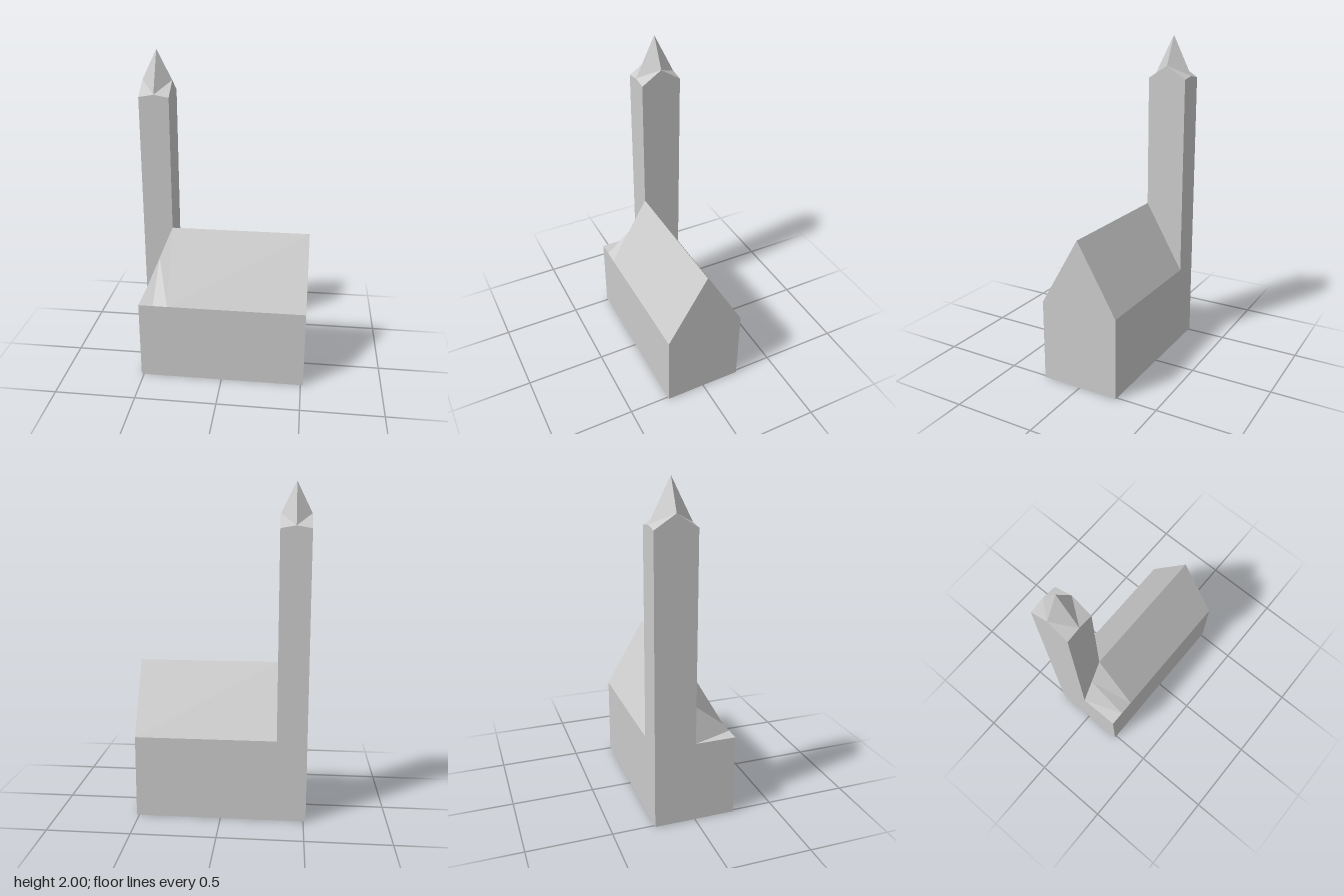
import * as THREE from 'three';

const material = new THREE.MeshStandardMaterial({ color: 0xcccccc, flatShading: true });

function part(name, geometry) {
  const mesh = new THREE.Mesh(geometry, material);
  mesh.name = name;
  return mesh;
}

// Solid block standing on the ground with a folded top.
// heights[j][i] is the top at xs[i], zs[j]; fold(i, j) picks each cell's diagonal.
function foldedBlock(xs, zs, heights, fold) {
  const out = [];
  const tri = (...points) => points.forEach((p) => out.push(...p));
  const top = (i, j) => [xs[i], heights[j][i], zs[j]];
  const foot = ([x, , z]) => [x, 0, z];
  const m = xs.length - 1, n = zs.length - 1;

  // top facets and floor
  for (let i = 0; i < m; i++) {
    for (let j = 0; j < n; j++) {
      const a = top(i, j), b = top(i, j + 1), c = top(i + 1, j + 1), d = top(i + 1, j);
      if (fold(i, j)) { tri(a, b, c); tri(a, c, d); } else { tri(a, b, d); tri(b, c, d); }
      tri(foot(a), foot(c), foot(b));
      tri(foot(a), foot(d), foot(c));
    }
  }

  // walls, one strip per side
  const wall = (p, q) => {
    tri(p, foot(p), foot(q));
    tri(p, foot(q), q);
  };
  for (let j = 0; j < n; j++) {
    wall(top(0, j), top(0, j + 1));
    wall(top(m, j + 1), top(m, j));
  }
  for (let i = 0; i < m; i++) {
    wall(top(i, n), top(i + 1, n));
    wall(top(i + 1, 0), top(i, 0));
  }

  const geometry = new THREE.BufferGeometry();
  geometry.setAttribute('position', new THREE.Float32BufferAttribute(out, 3));
  geometry.computeVertexNormals();
  return geometry;
}

export function createModel() {
  const group = new THREE.Group();
  group.name = 'church';

  const end = 0.515, inner = -0.335, depth = 0.247;
  const eaves = 0.5, ridge = 0.925;
  const xs = [-end, (inner - end) / 2, inner];

  // Nave: gabled section extruded along x
  const section = new THREE.Shape([
    new THREE.Vector2(-depth, 0),
    new THREE.Vector2(depth, 0),
    new THREE.Vector2(depth, eaves),
    new THREE.Vector2(0, ridge),
    new THREE.Vector2(-depth, eaves),
  ]);
  const nave = new THREE.ExtrudeGeometry(section, { depth: end - inner, bevelEnabled: false });
  nave.rotateY(Math.PI / 2).translate(inner, 0, 0);
  group.add(part('nave', nave));

  // Tower with a faceted spire
  const corner = 1.74, frontMid = 1.755, sideMid = 1.82;
  group.add(part('tower', foldedBlock(xs, [-depth, -depth / 2, 0], [
    [corner, frontMid, corner],
    [sideMid, 2, sideMid],
    [corner, frontMid, corner],
  ], (i, j) => i !== j)));

  // Porch in front of the tower, its roof folding up to the ridge
  group.add(part('porch', foldedBlock(xs, [0, depth], [
    [eaves, (eaves + ridge) / 2, ridge],
    [eaves, eaves, eaves],
  ], () => true)));

  return group;
}
